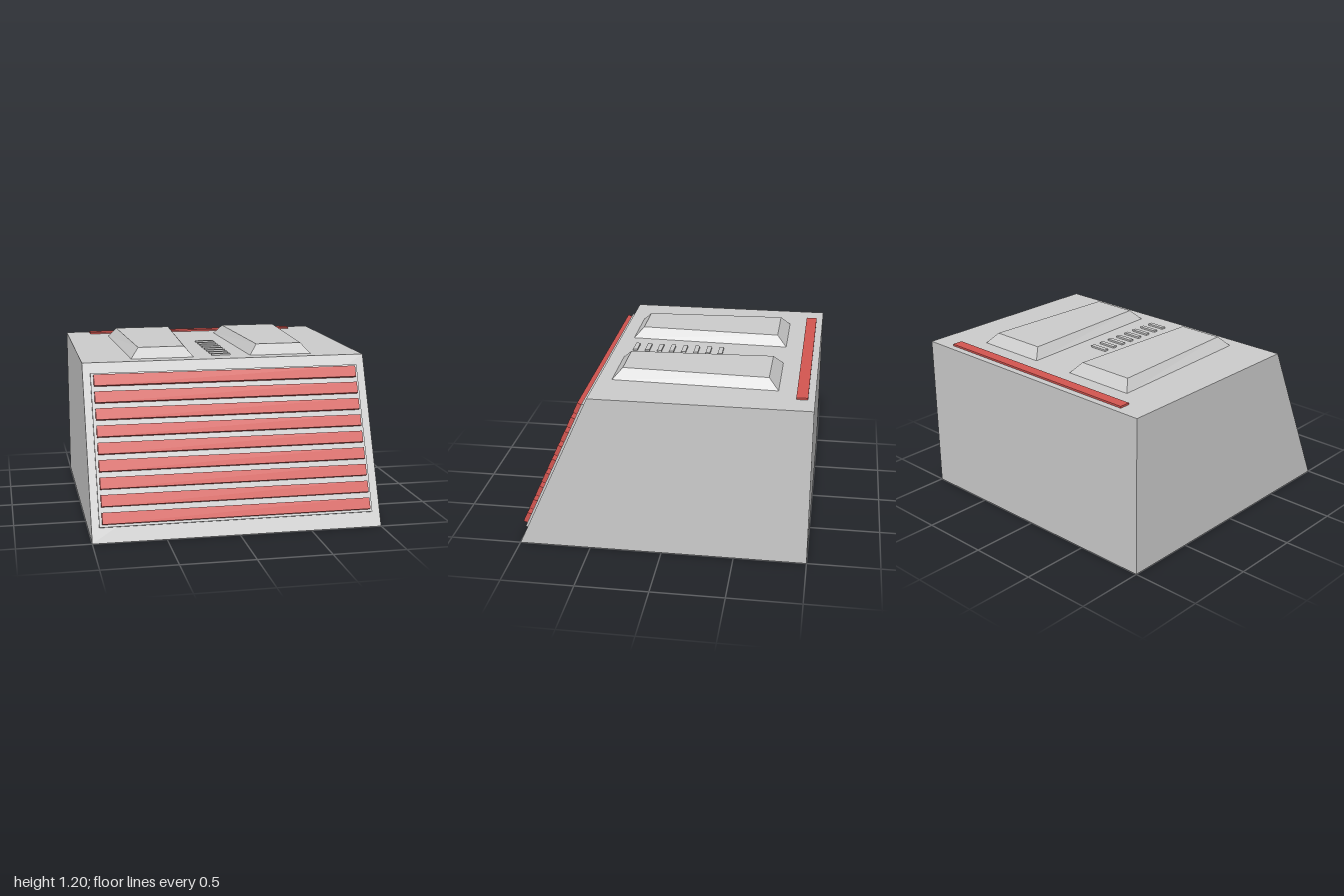
import * as THREE from 'three';

const grey = new THREE.MeshStandardMaterial({ color: 0xcccccc, flatShading: true });
const red = new THREE.MeshStandardMaterial({ color: 0xd35550, flatShading: true });

const TOP = 1.125;        // height of the flat roof
const FRONT_TOP_Z = 0.49; // where the sloping front meets the roof

function add(parent, name, geometry, material, x = 0, y = 0, z = 0) {
  const mesh = new THREE.Mesh(geometry, material);
  mesh.name = name;
  mesh.position.set(x, y, z);
  parent.add(mesh);
  return mesh;
}

// Raised panel with sloping sides: a box whose corners are moved to a tapered plan
function hoodGeometry() {
  const base = { back: -0.752, front: 0.391, backHalf: 0.262, frontHalf: 0.222 };
  const top = { back: -0.683, front: 0.324, backHalf: 0.206, frontHalf: 0.163 };
  const geometry = new THREE.BoxGeometry(2, 0.07, 2);
  const p = geometry.attributes.position;
  for (let i = 0; i < p.count; i++) {
    const ring = p.getY(i) > 0 ? top : base;
    const isFront = p.getZ(i) > 0;
    p.setX(i, p.getX(i) * (isFront ? ring.frontHalf : ring.backHalf));
    p.setZ(i, isFront ? ring.front : ring.back);
  }
  geometry.computeVertexNormals();
  return geometry;
}

export function createModel() {
  const model = new THREE.Group();
  model.name = 'slopedCabinet';

  // Wedge body: side profile extruded across the width
  const profile = new THREE.Shape([
    new THREE.Vector2(-1, 0),
    new THREE.Vector2(1, 0),
    new THREE.Vector2(FRONT_TOP_Z, TOP),
    new THREE.Vector2(-1, TOP),
  ]);
  const bodyGeometry = new THREE.ExtrudeGeometry(profile, { depth: 2, bevelEnabled: false });
  bodyGeometry.translate(0, 0, -1).rotateY(-Math.PI / 2);
  add(model, 'body', bodyGeometry, grey);

  // Front grille: local y runs up the slope, local z points out of it
  const grille = new THREE.Group();
  grille.name = 'frontGrille';
  grille.position.set(0, 0, 1);
  grille.rotation.x = -Math.atan2(1 - FRONT_TOP_Z, TOP);
  model.add(grille);
  add(grille, 'grillePanel', new THREE.BoxGeometry(1.89, 1.053, 0.017), grey, -0.003, 0.63, 0.0085);
  const slatGeometry = new THREE.BoxGeometry(1.85, 0.078, 0.03);
  for (let i = 0; i < 9; i++) {
    add(grille, 'grilleSlat', slatGeometry, red, -0.004, 0.159 + i * 0.1178, 0.032);
  }

  // Two tapered raised panels on the roof
  const hood = hoodGeometry();
  add(model, 'rightRoofPanel', hood, grey, -0.428, TOP + 0.035, 0);
  add(model, 'leftRoofPanel', hood, grey, 0.422, TOP + 0.035, 0);

  // Row of small ribs between the panels
  const ribGeometry = new THREE.BoxGeometry(0.135, 0.012, 0.032);
  for (let i = 0; i < 8; i++) {
    add(model, 'roofRib', ribGeometry, grey, -0.003, TOP + 0.006, -0.287 + i * 0.0887);
  }

  // Red strip along the rear of the roof
  add(model, 'rearStrip', new THREE.BoxGeometry(1.634, 0.013, 0.077), red, -0.003, TOP + 0.0065, -0.914);

  return model;
}
